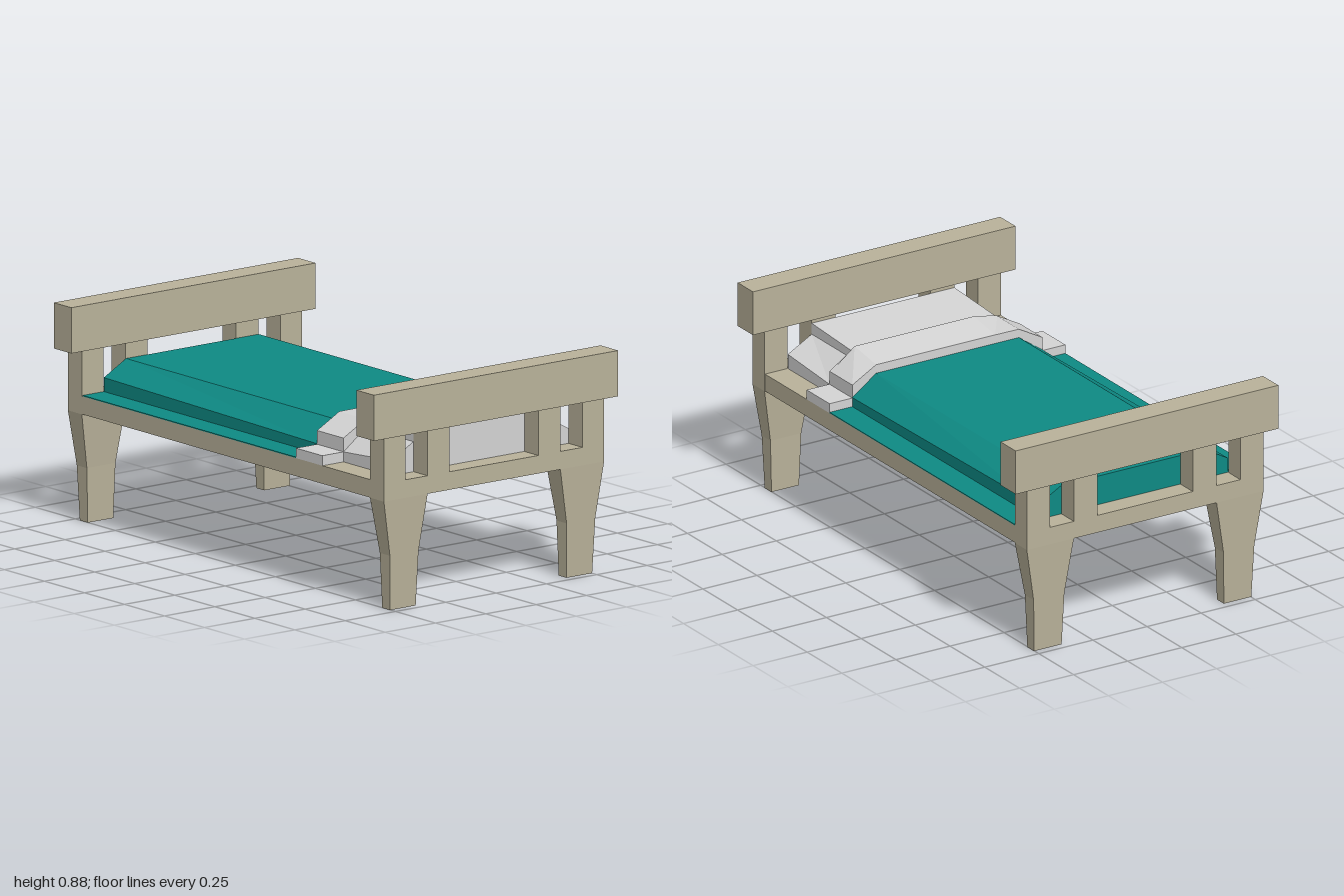
import * as THREE from 'three';

const mat = (name, color) => {
  const m = new THREE.MeshStandardMaterial({ color });
  m.name = name;
  return m;
};

// Skin a run of matching cross-sections and close both ends with fans
function loft(rings) {
  const pos = [];
  const tri = (...pts) => pts.forEach((p) => pos.push(...p));
  const n = rings[0].length;
  for (let r = 0; r < rings.length - 1; r++) {
    const a = rings[r], b = rings[r + 1];
    for (let i = 0; i < n; i++) {
      const j = (i + 1) % n;
      tri(a[i], b[i], a[j]);
      tri(b[i], b[j], a[j]);
    }
  }
  const s = rings[0], e = rings[rings.length - 1];
  for (let i = 1; i < n - 1; i++) {
    tri(s[0], s[i], s[i + 1]);
    tri(e[0], e[i + 1], e[i]);
  }
  const g = new THREE.BufferGeometry();
  g.setAttribute('position', new THREE.Float32BufferAttribute(pos, 3));
  g.computeVertexNormals();
  return g;
}

// Cross-section at x: half profile of [z, y] points mirrored across z = 0
function section(x, half, base = 0.515) {
  const back = half.slice().reverse().map(([z, y]) => [-z, y]);
  return [[0, base], ...half, ...back].map(([z, y]) => [x, y, z]);
}

// Rectangular cross-section at height y
const rect = (y, x0, x1, z0, z1) => [[x0, y, z0], [x1, y, z0], [x1, y, z1], [x0, y, z1]];

export function createModel() {
  const wood = mat('wood', 0xb9b29a);
  const teal = mat('blanketTeal', 0x0e8a84);
  const linen = mat('linen', 0xd4d4d4);
  const bed = new THREE.Group();
  bed.name = 'bed';

  const add = (parent, name, geometry, material) => {
    const m = new THREE.Mesh(geometry, material);
    m.name = name;
    parent.add(m);
    return m;
  };
  const box = (parent, name, material, x0, x1, y0, y1, z0, z1) => {
    const m = add(parent, name, new THREE.BoxGeometry(x1 - x0, y1 - y0, z1 - z0), material);
    m.position.set((x0 + x1) / 2, (y0 + y1) / 2, (z0 + z1) / 2);
  };

  // Bed platform
  box(bed, 'platform', wood, -0.9, 0.9, 0.443, 0.515, -0.545, 0.545);

  // Head and foot ends: rail, posts, cross beam and tapered legs
  for (const [name, turn] of [['headEnd', 0], ['footEnd', Math.PI]]) {
    const end = new THREE.Group();
    end.name = name;
    end.rotation.y = turn;
    bed.add(end);
    box(end, 'topRail', wood, 0.89, 1, 0.697, 0.88, -0.607, 0.607);
    box(end, 'crossBeam', wood, 0.9, 0.987, 0.443, 0.515, -0.547, 0.547);
    for (const s of [-1, 1]) {
      const span = (a, b) => (s > 0 ? [a, b] : [-b, -a]);
      box(end, 'outerPost', wood, 0.9, 0.987, 0.515, 0.697, ...span(0.44, 0.547));
      box(end, 'innerPost', wood, 0.9, 0.987, 0.515, 0.697, ...span(0.22, 0.33));
      add(end, 'leg', loft([
        rect(0, 0.92, 0.969, ...span(0.375, 0.502)),
        rect(0.22, 0.915, 0.978, ...span(0.368, 0.51)),
        rect(0.443, 0.9, 0.987, ...span(0.33, 0.547)),
      ]), wood);
    }
  }

  // Blanket with a thin hem lying on the platform edge
  const blanket = (x, side) => section(x, [
    [0.545, 0.515], [0.545, 0.519], [0.44, 0.519], [0.44, side], [0.33, 0.635],
  ]);
  add(bed, 'blanket', loft([blanket(-0.897, 0.575), blanket(0.436, 0.557)]), teal);

  // Bare mattress beneath the pillow
  const mattress = (x, side) => section(x, [[0.44, 0.515], [0.44, side], [0.33, 0.635]]);
  add(bed, 'mattress', loft([mattress(0.437, 0.557), mattress(0.6, 0.555), mattress(0.899, 0.575)]), linen);

  // Turned-down sheet, rising towards the pillow
  const fold = (x, crown) => {
    const ring = section(x, [
      [0.545, 0.515], [0.545, 0.555], [0.44, 0.555], [0.44, 0.61], [0.33, 0.67], [0.22, crown],
    ]);
    ring[7][1] = crown;
    ring[8][1] = crown;
    return ring;
  };
  add(bed, 'sheetFold', loft([fold(0.435, 0.671), fold(0.59, 0.694), fold(0.6, 0.68)]), linen);

  // Pillow
  const pillow = (x, top) => section(x, [[0.33, 0.633], [0.33, top]], 0.633);
  add(bed, 'pillow', loft([pillow(0.595, 0.666), pillow(0.899, 0.681)]), linen);

  return bed;
}
